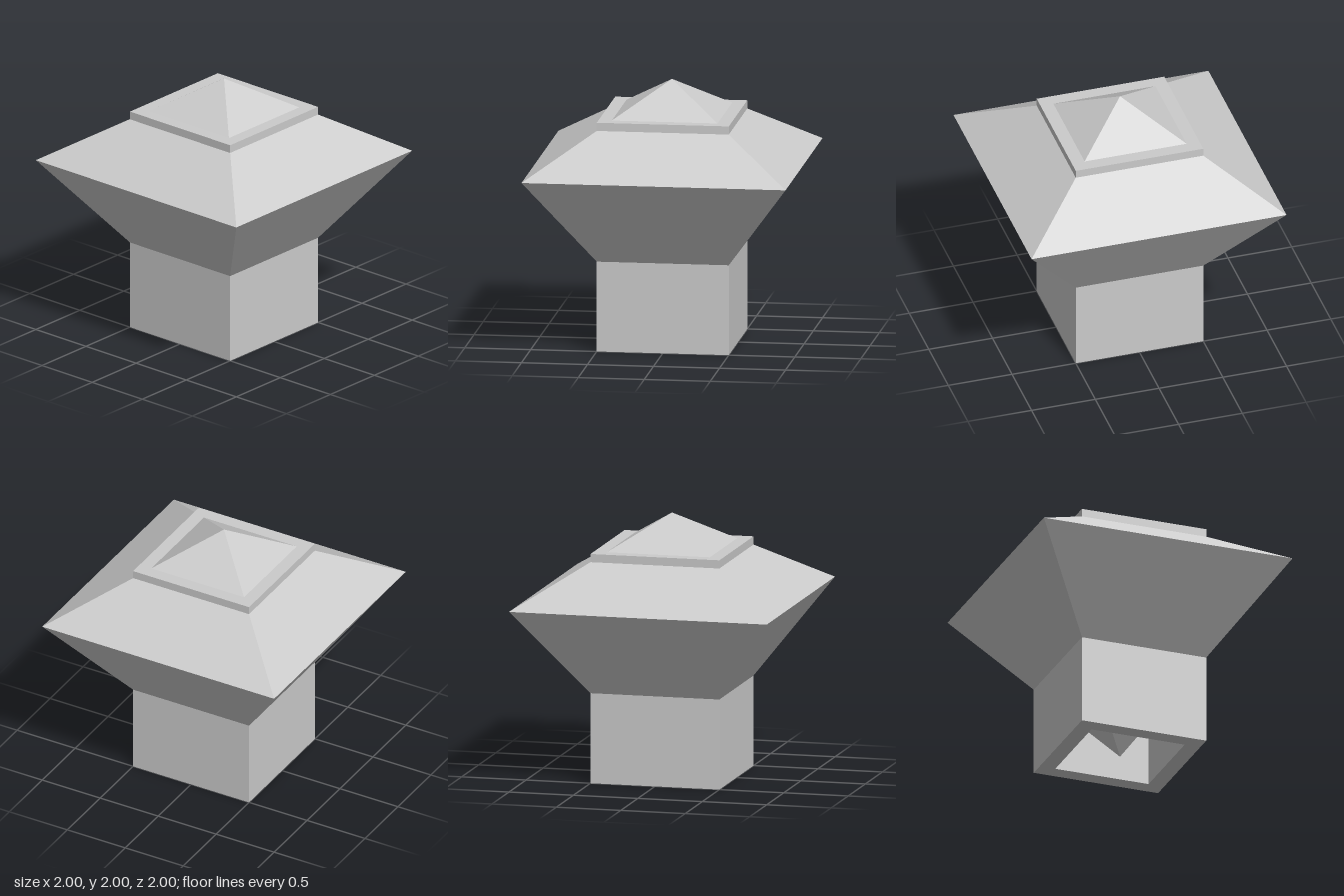
import * as THREE from 'three';

const EAVES = 1.375;   // height of the widest square
const HEIGHT = 2;
const OUTER = 0.5;     // half width of the square sleeves
const INNER = 0.375;

const material = new THREE.MeshStandardMaterial({ color: 0xcccccc, flatShading: true });

function addPart(group, name, geometry, y) {
  const mesh = new THREE.Mesh(geometry, material);
  mesh.name = name;
  mesh.position.y = y;
  group.add(mesh);
}

function square(PathType, half) {
  return new PathType([[-1, -1], [1, -1], [1, 1], [-1, 1]]
    .map(([x, y]) => new THREE.Vector2(x * half, y * half)));
}

// Hollow square sleeve standing on y = 0
function sleeve(height) {
  const shape = square(THREE.Shape, OUTER);
  shape.holes.push(square(THREE.Path, INNER));
  return new THREE.ExtrudeGeometry(shape, { depth: height, bevelEnabled: false })
    .rotateX(-Math.PI / 2);
}

// Open square pyramid with half width 1, base on y = 0 and sides facing the axes
function pyramid(height) {
  return new THREE.ConeGeometry(Math.SQRT2, height, 4, 1, true)
    .rotateY(Math.PI / 4)
    .translate(0, height / 2, 0);
}

export function createModel() {
  const model = new THREE.Group();
  model.name = 'squareLantern';

  // Two pyramids base to base; the lower tip reaches down inside the pedestal
  addPart(model, 'upperPyramid', pyramid(HEIGHT - EAVES), EAVES);
  addPart(model, 'lowerPyramid', pyramid(EAVES).rotateX(Math.PI), EAVES);

  // Square sleeves around the pyramids
  addPart(model, 'pedestal', sleeve(0.72), 0);
  addPart(model, 'collar', sleeve(0.15), 1.6);

  return model;
}
